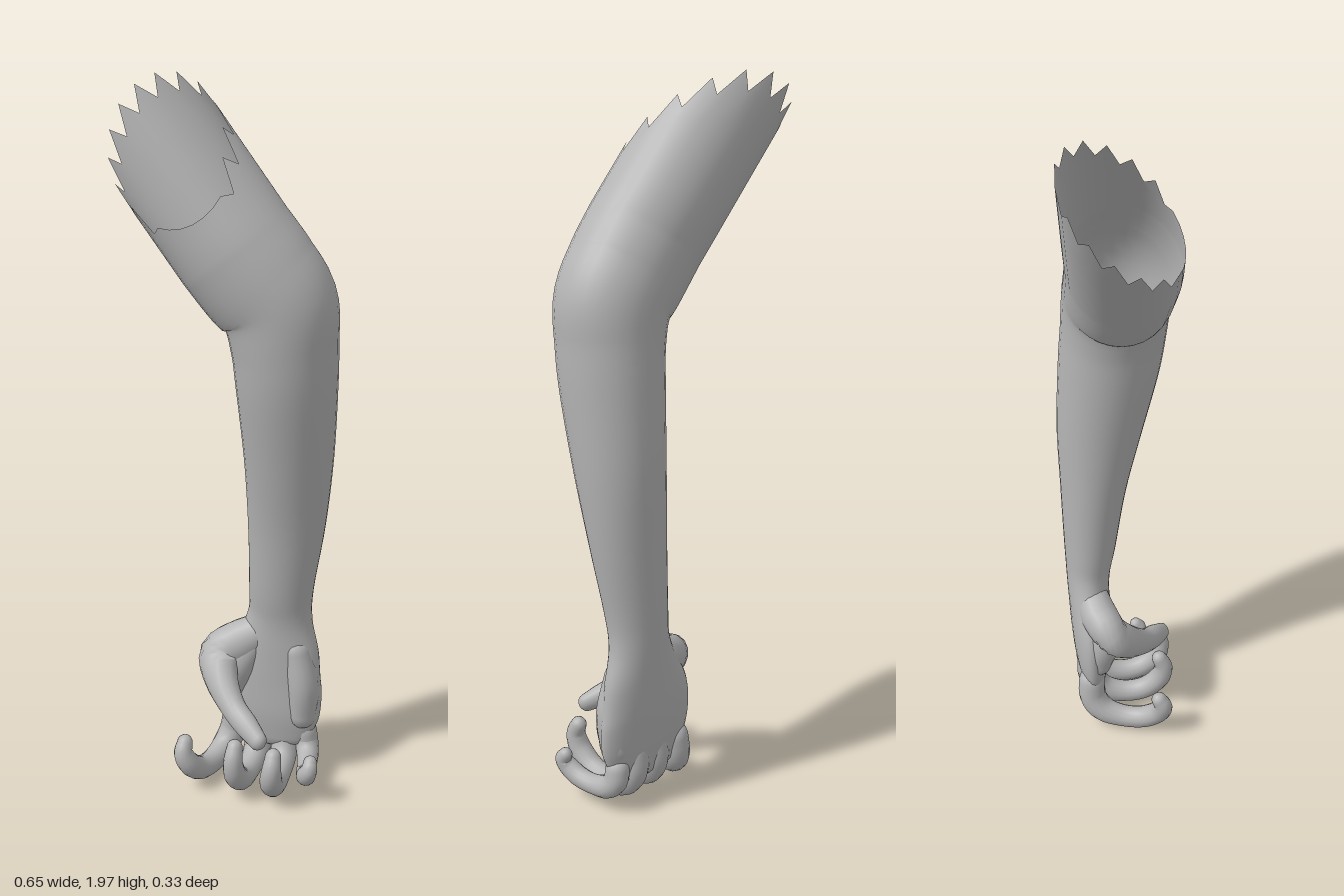
import * as THREE from 'three';

const skin = new THREE.MeshStandardMaterial({ color: 0xb4b4b4, side: THREE.DoubleSide });
skin.name = 'grey skin';

// Sweeps an ellipse along stations [x, y, z, ru, rv]; v stays close to the ref axis.
// tornLength(angle) extends the last ring into an open ragged edge, otherwise the end is rounded.
function sweep(name, stations, ref, { sides = 16, steps = 24, tornLength = null } = {}) {
  const path = new THREE.CatmullRomCurve3(stations.map(s => new THREE.Vector3(s[0], s[1], s[2])), false, 'catmullrom');
  const radii = new THREE.CatmullRomCurve3(stations.map(s => new THREE.Vector3(s[3], s[4], 0)), false, 'catmullrom');
  const pos = [], index = [];
  let rings = 0;
  const addRing = (c, T, ru, rv, extend = () => 0) => {
    const u = new THREE.Vector3().crossVectors(T, ref).normalize();
    const v = new THREE.Vector3().crossVectors(u, T).normalize();
    for (let j = 0; j < sides; j++) {
      const a = j / sides * Math.PI * 2;
      const p = c.clone().addScaledVector(u, ru * Math.cos(a)).addScaledVector(v, rv * Math.sin(a));
      p.addScaledVector(T, extend(a, j));
      pos.push(p.x, p.y, p.z);
    }
    rings++;
  };
  const dome = (t, dir, angles) => {
    const c = path.getPoint(t), T = path.getTangent(t), r = radii.getPoint(t);
    for (const a of angles) {
      const k = Math.max(Math.cos(a), 0.001);
      addRing(c.clone().addScaledVector(T, dir * Math.min(r.x, r.y) * Math.sin(a)), T, r.x * k, r.y * k);
    }
  };
  dome(0, -1, [1.57, 1.2, 0.8, 0.4]);
  for (let i = 0; i <= steps; i++) {
    const t = i / steps, r = radii.getPoint(t);
    addRing(path.getPoint(t), path.getTangent(t), r.x, r.y);
  }
  if (tornLength) {
    const c = path.getPoint(1), T = new THREE.Vector3(-0.62, 0.78, -0.05).normalize(), r = radii.getPoint(1);
    for (let k = 1; k <= 4; k++) {
      addRing(c, T, r.x, r.y, (a, j) => tornLength(a, j, k === 4) * k / 4);
    }
  } else dome(1, 1, [0.4, 0.8, 1.2, 1.57]);

  for (let i = 0; i < rings - 1; i++) {
    for (let j = 0; j < sides; j++) {
      const a = i * sides + j, b = i * sides + (j + 1) % sides;
      index.push(a, a + sides, b, b, a + sides, b + sides);
    }
  }
  const g = new THREE.BufferGeometry();
  g.setAttribute('position', new THREE.Float32BufferAttribute(pos, 3));
  g.setIndex(index);
  g.computeVertexNormals();
  const mesh = new THREE.Mesh(g, skin);
  mesh.name = name;
  return mesh;
}

export function createModel() {
  const model = new THREE.Group();
  model.name = 'arm';
  const X = new THREE.Vector3(1, 0, 0), Z = new THREE.Vector3(0, 0, 1);

  // Palm, wrist, forearm, elbow and upper arm in one skin, torn open at the top
  const arm = [
    [0.130, 0.12, -0.080, 0.120, 0.038],
    [0.130, 0.20, -0.083, 0.148, 0.050],
    [0.130, 0.30, -0.088, 0.150, 0.056],
    [0.145, 0.40, -0.090, 0.125, 0.060],
    [0.153, 0.50, -0.090, 0.093, 0.065],
    [0.157, 0.60, -0.083, 0.092, 0.076],
    [0.172, 0.80, -0.070, 0.108, 0.095],
    [0.180, 1.00, -0.050, 0.121, 0.120],
    [0.179, 1.20, -0.023, 0.133, 0.138],
    [0.174, 1.32, -0.010, 0.140, 0.142],
    [0.158, 1.42, -0.003, 0.154, 0.144],
    [0.106, 1.49, 0.004, 0.163, 0.147],
    [0.044, 1.567, 0.008, 0.164, 0.149],
  ];
  // Long at the back, short and clean at the front, zigzag in between
  const tornLength = (a, j, last) => {
    const w = Math.sin(a);
    const tooth = last && w < 0.8 ? (j % 2 ? 0.032 : -0.032) : 0;
    return 0.28 - 0.19 * w - 0.03 * Math.cos(a) + tooth;
  };
  model.add(sweep('armAndPalm', arm, Z, { sides: 32, steps: 60, tornLength }));

  // Thumb with its fleshy base, crossing in front of the palm
  model.add(sweep('thumb', [
    [0.110, 0.45, -0.085, 0.050, 0.045],
    [0.045, 0.41, -0.065, 0.062, 0.055],
    [-0.005, 0.375, -0.030, 0.062, 0.052],
    [0.015, 0.325, 0.020, 0.050, 0.044],
    [0.065, 0.275, 0.070, 0.038, 0.034],
    [0.115, 0.245, 0.105, 0.036, 0.031],
    [0.160, 0.220, 0.135, 0.028, 0.023],
  ], Z));
  // Muscle pad under the thumb and heel of the palm
  model.add(sweep('thumbPad', [
    [0.08, 0.42, -0.07, 0.045, 0.040],
    [0.03, 0.34, -0.05, 0.060, 0.050],
    [0.02, 0.24, -0.07, 0.040, 0.040],
  ], Z));
  model.add(sweep('palmHeel', [
    [0.21, 0.41, -0.075, 0.040, 0.045],
    [0.23, 0.30, -0.070, 0.045, 0.050],
    [0.23, 0.20, -0.075, 0.040, 0.045],
  ], Z));

  // Curled fingers: shared side profile [z, y, radius], scaled for each finger
  const curl = [
    [-0.090, 0.190, 0.040], [-0.088, 0.115, 0.041], [-0.055, 0.060, 0.039], [0.010, 0.038, 0.034],
    [0.075, 0.048, 0.034], [0.122, 0.090, 0.033], [0.136, 0.140, 0.028], [0.122, 0.178, 0.023],
  ];
  const fingers = [
    ['indexFinger', 0.025, -0.065, 0.93, 0.80, 0.012],
    ['middleFinger', 0.100, 0.088, 1.00, 1.00, 0],
    ['ringFinger', 0.172, 0.200, 1.00, 0.95, 0.002],
    ['littleFinger', 0.235, 0.292, 0.74, 0.50, 0.048],
  ];
  for (const [name, knuckleX, tipX, sz, sy, lift] of fingers) {
    const size = sz < 0.8 ? 0.85 : 1;
    model.add(sweep(name, curl.map(([z, y, r], i) => [
      THREE.MathUtils.lerp(knuckleX, tipX, Math.min(1, Math.max(0, i - 0.5) / 5.5)),
      lift + y * sy, -0.09 + (z + 0.09) * sz, r * size, r * size * 0.97,
    ]), X, { steps: 28, sides: 14 }));
  }
  return model;
}
